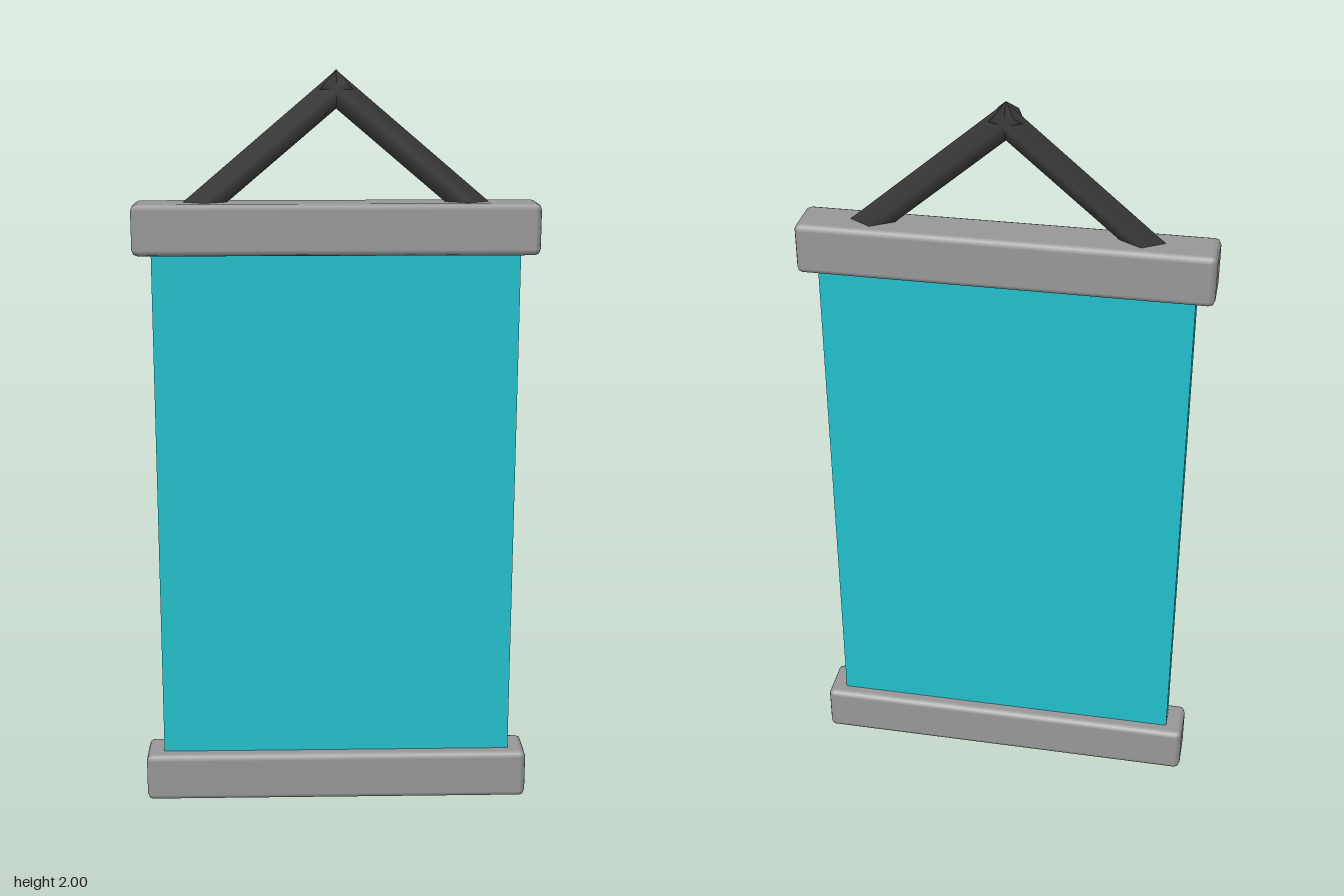
import * as THREE from 'three';
import { RoundedBoxGeometry } from 'three/addons/geometries/RoundedBoxGeometry.js';

const material = (name, color) => {
  const m = new THREE.MeshStandardMaterial({ color });
  m.name = name;
  return m;
};

export function createModel() {
  const teal = material('teal cloth', 0x22c1cc);
  const grey = material('grey bar', 0x989898);
  const dark = material('dark cord', 0x3a3a3a);
  const group = new THREE.Group();
  group.name = 'hangingBanner';

  const add = (name, geometry, mat, x, y) => {
    const mesh = new THREE.Mesh(geometry, mat);
    mesh.name = name;
    mesh.position.set(x, y, 0);
    group.add(mesh);
    return mesh;
  };

  // Bevelled bars holding the cloth at both ends
  const barGeometry = new RoundedBoxGeometry(1.06, 0.134, 0.134, 1, 0.016);
  add('bottomBar', barGeometry, grey, 0, 0.07);
  add('topBar', barGeometry, grey, 0, 1.597);

  // Cloth panel, its ends hidden inside the bars
  add('cloth', new THREE.BoxGeometry(0.964, 1.53, 0.063), teal, 0, 0.835);

  // Four-sided cords, crossing slightly at the peak and sunk into the top bar
  const slope = 0.84;
  const peak = 1.95;
  const inner = -0.025;
  const outer = 0.4;
  const length = (outer - inner) * Math.hypot(1, slope);
  const cordGeometry = new THREE.CylinderGeometry(0.037, 0.037, length, 4);
  const middle = (inner + outer) / 2;
  for (const side of [1, -1]) {
    const cord = add(side > 0 ? 'leftCord' : 'rightCord', cordGeometry, dark,
      side * middle, peak - middle * slope);
    cord.rotation.z = side * (Math.PI / 2 - Math.atan(slope));
  }
  return group;
}
